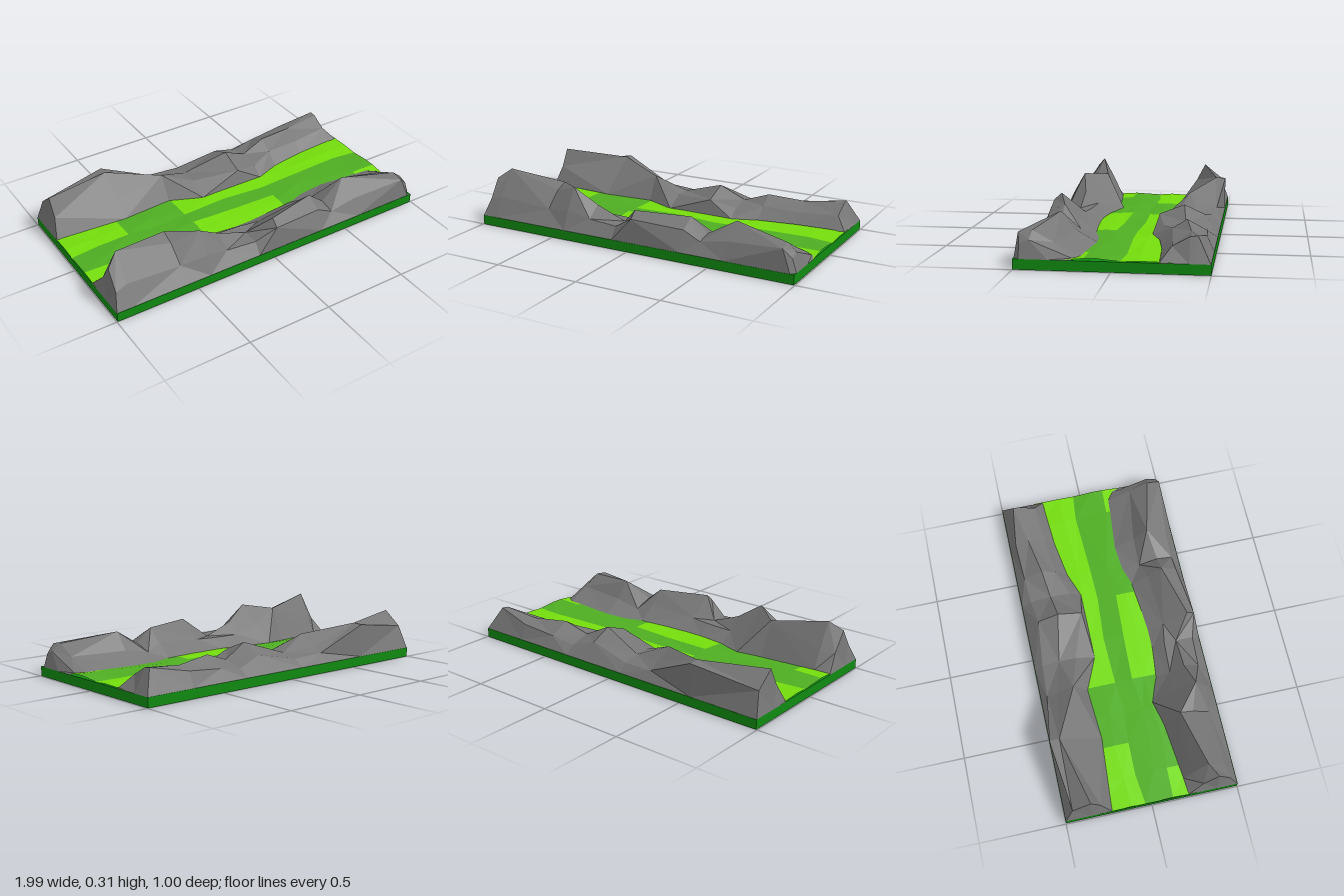
import * as THREE from 'three';

const GROUND = 0.055;

const mat = (color) => new THREE.MeshStandardMaterial({ color, flatShading: true });

// Faceted surface through rows of points; keep(i, j) picks the cells to build
function surface(name, rows, color, flip = false, keep = () => true) {
  const pos = [];
  const tri = (a, b, c) => pos.push(...a, ...(flip ? c : b), ...(flip ? b : c));
  for (let i = 0; i < rows.length - 1; i++) {
    for (let j = 0; j < rows[i].length - 1; j++) {
      if (!keep(i, j)) continue;
      const a = rows[i][j], b = rows[i][j + 1], c = rows[i + 1][j + 1], d = rows[i + 1][j];
      if ((i + j) % 2) { tri(a, b, d); tri(b, c, d); }
      else { tri(a, b, c); tri(a, c, d); }
    }
  }
  const geo = new THREE.BufferGeometry();
  geo.setAttribute('position', new THREE.Float32BufferAttribute(pos, 3));
  geo.computeVertexNormals();
  const mesh = new THREE.Mesh(geo, mat(color));
  mesh.name = name;
  return mesh;
}

// Rock ridge from stations: x, foot z, then (z, y) of inner shoulder, crest, outer shoulder
function ridge(name, stations, side) {
  const rows = stations.map(([x, foot, z1, y1, z2, y2, z3, y3]) => [
    [x, 0.062, side * foot],
    [x, y1, side * z1],
    [x, y2, side * z2],
    [x, y3, side * z3],
    [x, GROUND, side * 0.498],
  ]);
  // both ends drop steeply to the slab
  const end = (row, x) => row.map((p) => [x, GROUND, p[2]]);
  const all = [end(rows[0], -0.995), ...rows, end(rows[rows.length - 1], 0.995)];
  return surface(name, all, 0x777777, side < 0);
}

export function createModel() {
  const group = new THREE.Group();
  group.name = 'valley';

  // Flat slab underneath
  const base = new THREE.Mesh(new THREE.BoxGeometry(1.99, GROUND, 1), mat(0x108a10));
  base.position.y = GROUND / 2;
  base.name = 'baseSlab';
  group.add(base);

  // Front ridge
  group.add(ridge('frontRidge', [
    [-0.97, 0.21, 0.30, 0.15, 0.38, 0.26, 0.45, 0.15],
    [-0.90, 0.205, 0.25, 0.16, 0.33, 0.315, 0.44, 0.17],
    [-0.57, 0.17, 0.255, 0.26, 0.33, 0.23, 0.43, 0.14],
    [-0.42, 0.13, 0.25, 0.17, 0.38, 0.283, 0.45, 0.16],
    [-0.28, 0.19, 0.27, 0.12, 0.35, 0.19, 0.44, 0.13],
    [-0.10, 0.21, 0.28, 0.12, 0.35, 0.12, 0.45, 0.12],
    [0.02, 0.21, 0.30, 0.12, 0.44, 0.23, 0.485, 0.19],
    [0.33, 0.18, 0.28, 0.14, 0.36, 0.22, 0.45, 0.17],
    [0.43, 0.15, 0.25, 0.10, 0.36, 0.14, 0.45, 0.12],
    [0.59, 0.13, 0.25, 0.13, 0.33, 0.23, 0.45, 0.15],
    [0.92, 0.16, 0.30, 0.13, 0.41, 0.19, 0.485, 0.18],
    [0.97, 0.20, 0.32, 0.11, 0.42, 0.15, 0.47, 0.13],
  ], 1));

  // Back ridge
  group.add(ridge('backRidge', [
    [-0.97, 0.23, 0.29, 0.17, 0.345, 0.275, 0.45, 0.19],
    [-0.57, 0.20, 0.30, 0.14, 0.44, 0.25, 0.497, 0.245],
    [-0.27, 0.22, 0.30, 0.20, 0.40, 0.14, 0.46, 0.11],
    [-0.08, 0.137, 0.25, 0.12, 0.35, 0.12, 0.45, 0.10],
    [0.18, 0.135, 0.16, 0.15, 0.30, 0.205, 0.42, 0.15],
    [0.33, 0.135, 0.20, 0.11, 0.32, 0.13, 0.44, 0.10],
    [0.48, 0.19, 0.26, 0.13, 0.34, 0.18, 0.45, 0.12],
    [0.70, 0.225, 0.28, 0.12, 0.38, 0.16, 0.46, 0.14],
    [0.93, 0.24, 0.30, 0.13, 0.39, 0.18, 0.43, 0.185],
  ], -1));

  // Grass floor, gently uneven, in light and dark patches
  const xs = [-0.995, -0.82, -0.63, -0.45, -0.26, 0.02, 0.28, 0.46, 0.84, 0.995];
  const zs = [-0.3, -0.13, -0.05, 0.06, 0.13, 0.26];
  const heights = [0.056, 0.063, 0.06, 0.067, 0.066, 0.056];
  const floor = xs.map((x, i) => zs.map((z, j) => [
    x,
    heights[j] + 0.003 * Math.sin(i * 2.3 + j * 1.7),
    z + (j % 5 ? 0.012 * Math.sin(i * 1.9 + j) : 0),
  ]));
  const isLight = (i, j) =>
    (j < 2 && (i < 2 || i > 3)) || (j > 2 && (i === 4 || i === 5)) ||
    (j === 4 && (i === 0 || i === 8));
  group.add(surface('lightGrass', floor, 0x74dd0c, false, isLight));
  group.add(surface('darkGrass', floor, 0x4fae22, false, (i, j) => !isLight(i, j)));

  return group;
}
